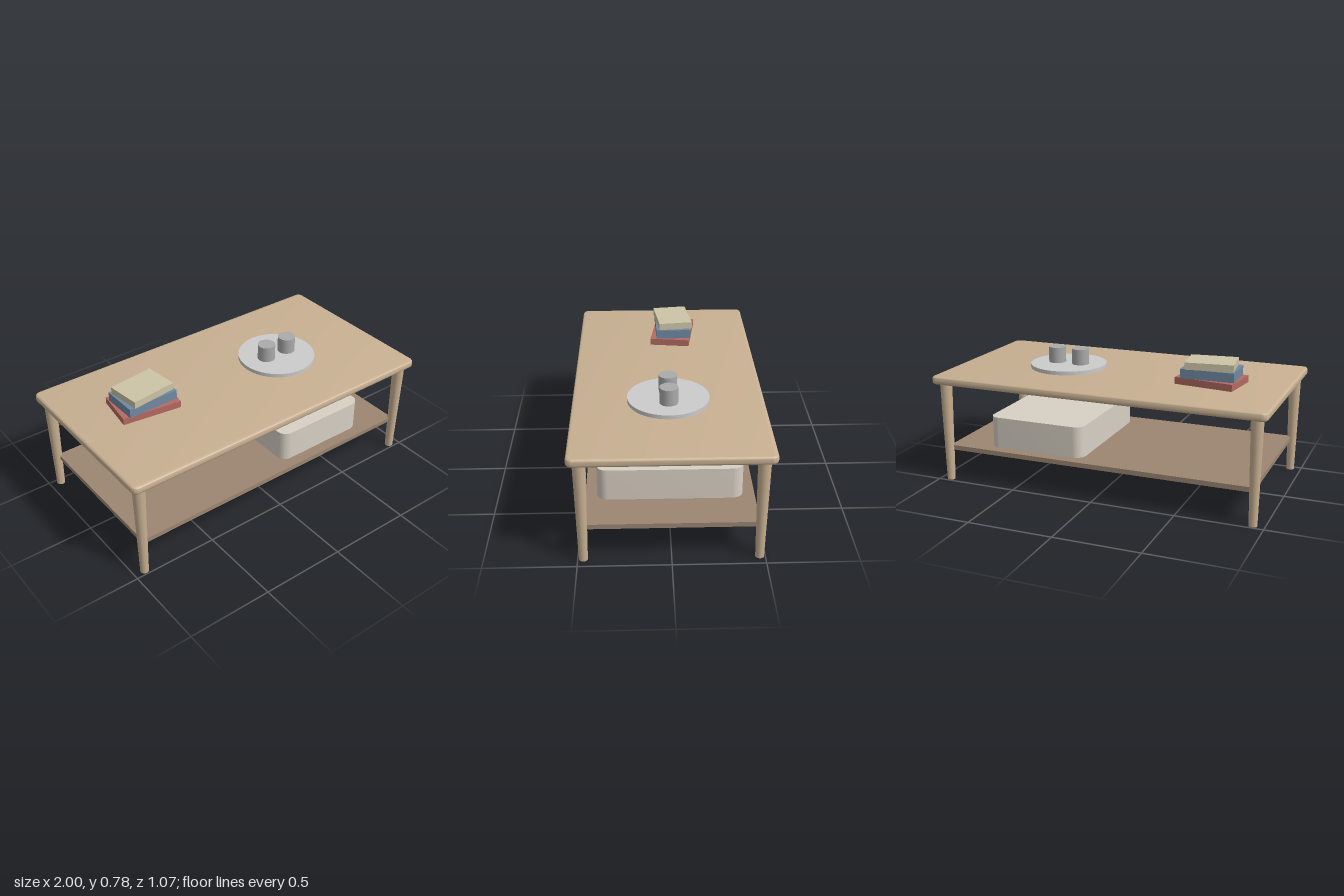
import * as THREE from 'three';
import { toCreasedNormals } from 'three/addons/utils/BufferGeometryUtils.js';

const WOOD = 0xc8b092, SHELF = 0x9c8672, TOP_Y = 0.648;

// Slab lying flat with its underside at y = 0, rounded in plan, optionally bevelled
function roundedSlab(w, h, d, r, bevel = 0) {
  const x = w / 2, y = d / 2;
  const s = new THREE.Shape();
  s.moveTo(-x + r, -y);
  s.absarc(x - r, -y + r, r, -Math.PI / 2, 0);
  s.absarc(x - r, y - r, r, 0, Math.PI / 2);
  s.absarc(-x + r, y - r, r, Math.PI / 2, Math.PI);
  s.absarc(-x + r, -y + r, r, Math.PI, Math.PI * 1.5);
  const geo = new THREE.ExtrudeGeometry(s, {
    depth: h - 2 * bevel, curveSegments: 8, bevelEnabled: bevel > 0,
    bevelThickness: bevel, bevelSize: bevel, bevelOffset: -bevel, bevelSegments: 4,
  });
  geo.translate(0, 0, bevel).rotateX(-Math.PI / 2);
  return toCreasedNormals(geo, 0.6);
}

export function createModel() {
  const model = new THREE.Group();
  model.name = 'coffeeTable';

  const add = (name, geo, color, x, y, z, parent = model) => {
    const mesh = new THREE.Mesh(geo, new THREE.MeshStandardMaterial({ color }));
    mesh.name = name;
    mesh.position.set(x, y, z);
    parent.add(mesh);
    return mesh;
  };

  // Table top with softened edges
  add('tableTop', roundedSlab(2, 0.046, 1.07, 0.035, 0.014), WOOD, 0, TOP_Y - 0.046, 0);

  // Tapered legs
  const legGeo = new THREE.CylinderGeometry(0.036, 0.024, 0.604, 16);
  for (const sx of [-1, 1]) {
    for (const sz of [-1, 1]) {
      const name = (sz > 0 ? 'front' : 'back') + (sx > 0 ? 'Left' : 'Right') + 'Leg';
      add(name, legGeo, WOOD, sx * 0.935, 0.302, sz * 0.47);
    }
  }

  // Lower shelf, let into the legs
  add('shelf', new THREE.BoxGeometry(1.86, 0.028, 0.93), SHELF, 0, 0.201, 0);

  // Storage box on the shelf
  add('storageBox', roundedSlab(0.6, 0.185, 0.8, 0.06), 0xd8d0c4, 0.396, 0.215, 0);

  // Tray and two cups
  add('tray', new THREE.CylinderGeometry(0.23, 0.23, 0.023, 48), 0xcccccc, 0.357, TOP_Y + 0.0115, 0);
  const cupGeo = new THREE.CylinderGeometry(0.052, 0.052, 0.095, 24);
  for (const x of [0.279, 0.433]) add('cup', cupGeo, 0xaaaaaa, x, 0.7175, 0);

  // Stack of books: width, height, depth, turn, color
  const books = new THREE.Group();
  books.name = 'bookStack';
  books.position.set(-0.562, TOP_Y, -0.055);
  model.add(books);
  let y = 0;
  [
    [0.35, 0.04, 0.24, -0.135, 0xb56a62],
    [0.31, 0.054, 0.215, 0.02, 0x7089a2],
    [0.275, 0.041, 0.205, 0.125, 0xccc4a6],
  ].forEach(([w, h, d, turn, color]) => {
    add('book', new THREE.BoxGeometry(w, h, d), color, 0, y + h / 2, 0, books).rotation.y = turn;
    y += h;
  });

  return model;
}
